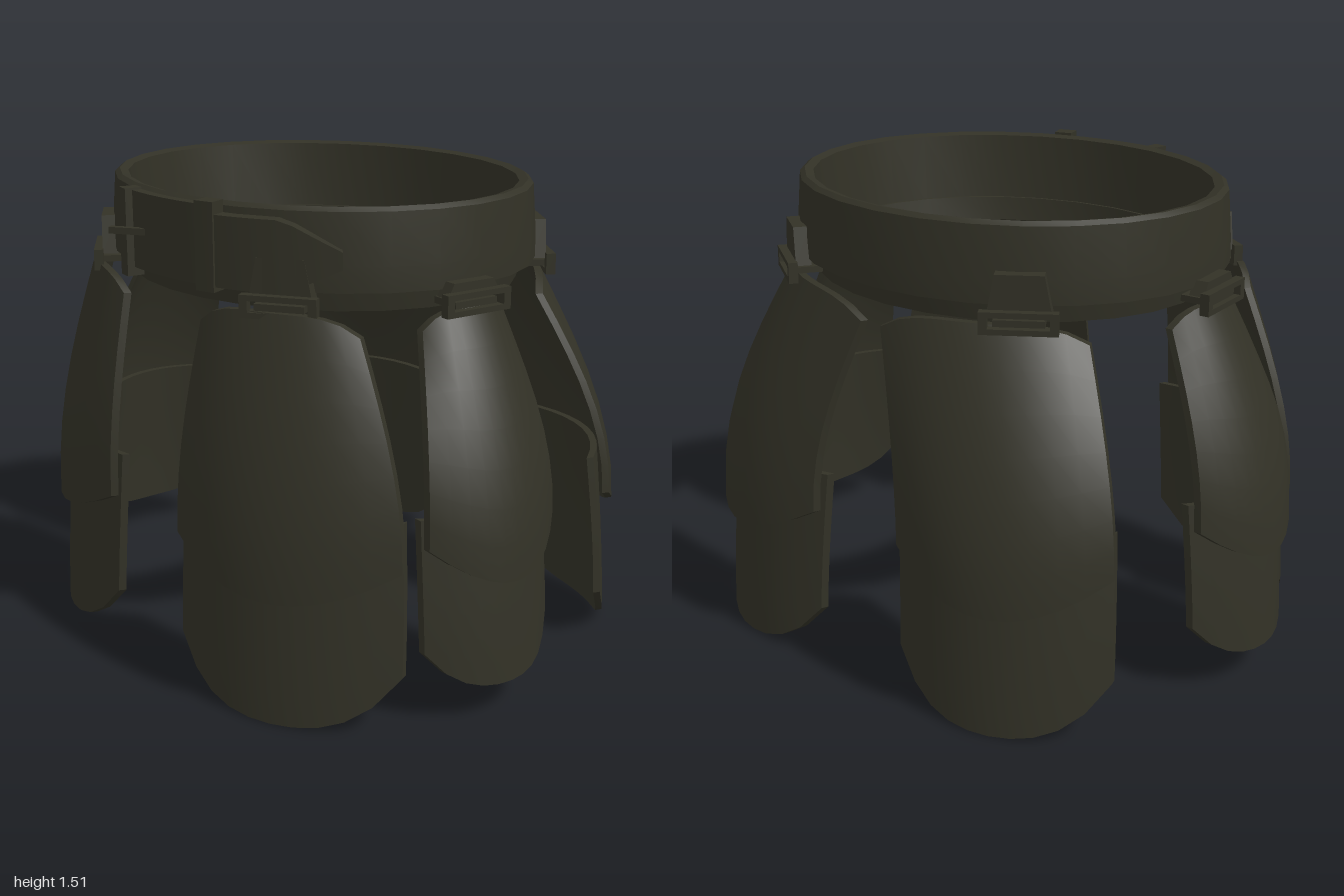
import * as THREE from 'three';
import { toCreasedNormals } from 'three/addons/utils/BufferGeometryUtils.js';

const RX = 0.73, RZ = 0.63, CZ = 0.03; // belt ellipse
const lerp = (a, b, t) => a + (b - a) * t;

// Closed thin shell between an outer and an inner surface; u runs -1..1, v runs 0 (top)..1
function shell(outer, inner, cols, rows) {
  const pos = [], idx = [], n = (cols + 1) * 2;
  for (let r = 0; r <= rows; r++) {
    for (let k = 0; k < n; k++) {
      const front = k <= cols, i = front ? k : n - 1 - k;
      pos.push(...(front ? outer : inner)((i / cols) * 2 - 1, r / rows));
    }
  }
  const quad = (a, b, c, d) => idx.push(a, b, c, a, c, d);
  for (let r = 0; r < rows; r++) {
    for (let k = 0; k < n; k++) {
      const k2 = (k + 1) % n;
      quad(r * n + k, (r + 1) * n + k, (r + 1) * n + k2, r * n + k2);
    }
  }
  const last = rows * n;
  for (let i = 0; i < cols; i++) {
    const a = i, b = i + 1, c = n - 2 - i, d = n - 1 - i;
    quad(a, b, c, d);
    quad(last + d, last + c, last + b, last + a);
  }
  const g = new THREE.BufferGeometry();
  g.setAttribute('position', new THREE.Float32BufferAttribute(pos, 3));
  g.setIndex(idx);
  return toCreasedNormals(g, 0.5);
}

// Bowed plate hung between a top chord and a bottom chord, each [ax, az, bx, bz]
function plate({ top, bottom, sag, yTop, yBot, v0 = 0, inset = [0, 0] }) {
  const point = (depth) => (u, v) => {
    const e = lerp(v0, 1, Math.sin((v * Math.PI) / 2));
    const [ax, az, bx, bz] = top.map((p, i) => lerp(p, bottom[i], e));
    const dx = bx - ax, dz = bz - az, len = Math.hypot(dx, dz), s = (u + 1) / 2;
    const out = lerp(sag[0], sag[1], e) * (1 - u * u) - depth - lerp(inset[0], inset[1], v);
    return [
      ax + dx * s - (dz / len) * out,
      lerp(yTop(u), yBot(u), v),
      az + dz * s + (dx / len) * out,
    ];
  };
  return shell(point(0), point(0.024), 10, 7);
}

// Curved strip lying on the belt; height(s) gives [low, high] along its length
function beltStrip(t0, t1, lift, height, cols) {
  const point = (off) => (u, v) => {
    const s = (u + 1) / 2, t = lerp(t0, t1, s), [lo, hi] = height(s);
    return [(RX + off) * Math.sin(t), lerp(hi, lo, v), CZ + (RZ + off) * Math.cos(t)];
  };
  return shell(point(lift), point(-0.01), cols, 1);
}

function polygon(points) {
  return new THREE.Shape(points.map(([x, y]) => new THREE.Vector2(x, y)));
}

export function createModel() {
  const model = new THREE.Group();
  model.name = 'armouredBelt';
  const olive = new THREE.MeshStandardMaterial({ color: 0x33322a });
  olive.name = 'darkOlive';
  olive.color.set(0x323126);

  const add = (name, geometry, parent = model) => {
    const mesh = new THREE.Mesh(geometry, olive);
    mesh.name = name;
    parent.add(mesh);
    return mesh;
  };

  // Belt and the narrower lining band below it
  const ring = (name, profile) => {
    const pts = profile.map(([r, y]) => new THREE.Vector2(r, y));
    const g = new THREE.LatheGeometry(pts, 28);
    g.scale(1, 1, RZ / RX);
    g.translate(0, 0, CZ);
    add(name, toCreasedNormals(g, 0.5));
  };
  ring('belt', [[0.66, 1.26], [0.735, 1.265], [0.735, 1.34], [0.722, 1.495],
    [0.705, 1.507], [0.675, 1.5], [0.66, 1.26]]);
  ring('lining', [[0.64, 1.2], [0.675, 1.2], [0.69, 1.28], [0.65, 1.28], [0.64, 1.2]]);

  // Buckle on the front: raised strap, two keepers, pointed strap end and prong
  add('buckleStrap', beltStrip(-0.17, 0.36, 0.022, () => [1.262, 1.497], 6));
  add('buckleBar', beltStrip(-0.19, -0.13, 0.045, () => [1.235, 1.503], 2));
  add('strapKeeper', beltStrip(0.3, 0.385, 0.048, () => [1.25, 1.512], 2));
  add('strapEnd', beltStrip(0.38, 0.91, 0.04, (s) => {
    const k = Math.max(0, (s - 0.55) / 0.45);
    return [lerp(1.265, 1.34, k), lerp(1.475, 1.39, k)];
  }, 8));
  const prong = add('buckleProng', new THREE.BoxGeometry(0.12, 0.02, 0.022));
  prong.position.set(-0.08, 1.38, 0.705);
  prong.rotation.y = 0.6;

  // Hanging clip: tapered tab over a rectangular loop
  const tabShape = polygon([[-0.095, 1.245], [0.095, 1.245], [0.072, 1.365], [-0.072, 1.365]]);
  const tabGeo = new THREE.ExtrudeGeometry(tabShape, { depth: 0.05, bevelEnabled: false });
  const loopShape = polygon([[-0.115, 1.195], [0.115, 1.195], [0.115, 1.262], [-0.115, 1.262]]);
  loopShape.holes.push(polygon([[-0.09, 1.212], [-0.09, 1.245], [0.09, 1.245], [0.09, 1.212]]));
  const loopGeo = new THREE.ExtrudeGeometry(loopShape, { depth: 0.03, bevelEnabled: false });
  const addClip = (name, t, height = 1) => {
    const clip = new THREE.Group();
    clip.name = name;
    clip.position.set(RX * Math.sin(t), 0, CZ + RZ * Math.cos(t));
    clip.rotation.y = Math.atan2(Math.sin(t) / RX, Math.cos(t) / RZ);
    const tab = add('clipTab', tabGeo, clip);
    tab.position.set(0, 1.245 * (1 - height), -0.012);
    tab.scale.y = height;
    add('clipLoop', loopGeo, clip).position.z = 0.035;
    add('clipHook', new THREE.BoxGeometry(0.15, 0.02, 0.1), clip).position.set(0, 1.225, 0);
    model.add(clip);
  };

  // Three plate pairs, given for the left side and mirrored to the right
  const plates = [
    { name: 'front', t: 0.664, clip: 1, top: [0.21, 0.65, 0.67, 0.43],
      bottom: [0.19, 0.74, 0.86, 0.43], sag: [0.06, 0.13], upper: [0.395, 0.11], lower: [0.005, 0.17] },
    { name: 'side', t: 1.49, clip: 0.35, top: [0.72, 0.24, 0.72, -0.09],
      bottom: [0.89, 0.355, 0.89, -0.15], sag: [0.05, 0.11], upper: [0.445, 0.12], lower: [0.12, 0.12] },
    { name: 'back', t: Math.PI - 0.664, clip: 1, top: [0.62, -0.36, 0.04, -0.62],
      bottom: [0.82, -0.49, 0.18, -0.72], sag: [0.07, 0.14], upper: [0.4, 0.12], lower: [0.005, 0.17] },
  ];
  const mirror = ([ax, az, bx, bz]) => [-bx, bz, -ax, az];
  for (const p of plates) {
    for (const side of ['Left', 'Right']) {
      const left = side === 'Left';
      const top = left ? p.top : mirror(p.top);
      const bottom = left ? p.bottom : mirror(p.bottom);
      add(`${p.name}${side}UpperPlate`, plate({
        top, bottom, sag: p.sag,
        yTop: (u) => 1.215 - 0.06 * u ** 4,
        yBot: (u) => p.upper[0] + p.upper[1] * u * u,
      }));
      add(`${p.name}${side}LowerPlate`, plate({
        top, bottom, sag: p.sag, v0: 0.9, inset: [0.035, 0.012],
        yTop: () => 0.64,
        yBot: (u) => p.lower[0] + p.lower[1] * (0.3 * u * u + 0.7 * u ** 4),
      }));
      addClip(`${p.name}${side}Clip`, left ? p.t : -p.t, p.clip);
    }
  }
  return model;
}
